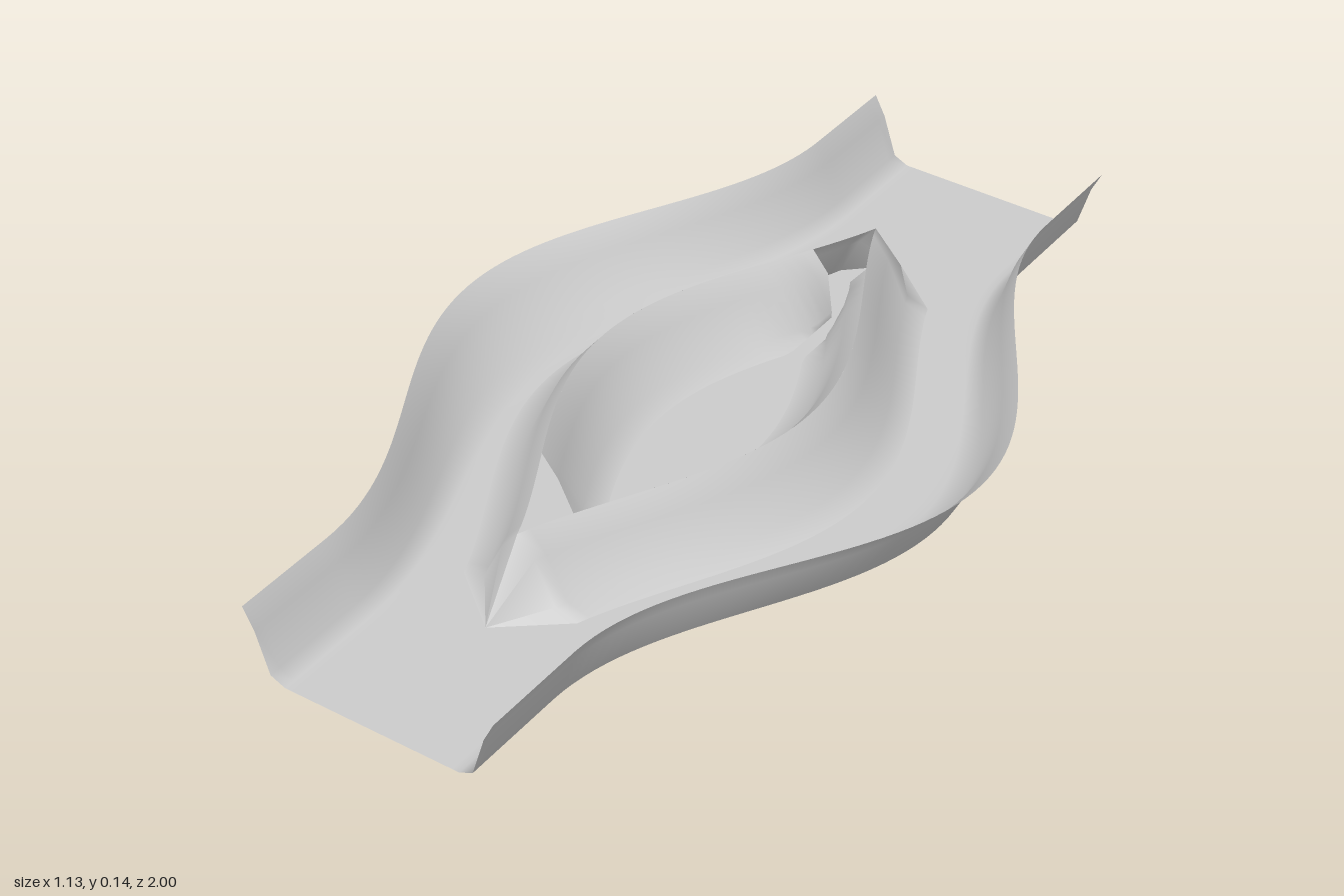
import * as THREE from 'three';

const H = 0.143;    // bank height
const MID = -0.028; // centre line of the island
const TIP = 0.58;   // island ridge ends here
const PROW = 0.68;  // island foot ends here

const material = new THREE.MeshStandardMaterial({ color: 0xcccccc, side: THREE.DoubleSide });

// 1 at the middle of the bed, easing to 0 towards the straight ends
const swell = z => Math.abs(z) > 0.78 ? 0 : (1 + Math.cos(Math.PI * z / 0.78)) / 2;
const ridge = z => Math.max(0, 0.27 * swell(z) - 0.042);

// Skin a list of cross-sections, each an array of [x, y, z]
function loft(name, sections) {
  const n = sections[0].length, index = [];
  for (let i = 0; i < sections.length - 1; i++) {
    for (let j = 0; j < n - 1; j++) {
      const a = i * n + j, b = a + n;
      index.push(a, b, a + 1, b, b + 1, a + 1);
    }
  }
  const geometry = new THREE.BufferGeometry();
  geometry.setAttribute('position', new THREE.Float32BufferAttribute(sections.flat(2), 3));
  geometry.setIndex(index);
  geometry.computeVertexNormals();
  const mesh = new THREE.Mesh(geometry, material);
  mesh.name = name;
  return mesh;
}

function stations(from, to, count) {
  return Array.from({ length: count + 1 }, (_, i) => from + (to - from) * i / count);
}

// Bank profile as [distance from the top edge, height]
const bank = [[0, H], [0.035, 0.1], [0.078, 0.014], [0.125, 0]];

export function createModel() {
  const group = new THREE.Group();
  group.name = 'splitChannel';

  // Channel floor with the two outer banks
  group.add(loft('channelBed', stations(-1, 1, 80).map(z => {
    const s = swell(z);
    const left = -0.295 - 0.27 * s, right = 0.24 + 0.325 * s;
    const wl = 0.65 + 0.65 * s, wr = 0.62 + 0.42 * s;
    return [
      ...bank.map(([d, y]) => [left + d * wl, y, z]),
      [left + 0.15 * wl, 0, z],
      [right - 0.15 * wr, 0, z],
      ...bank.map(([d, y]) => [right - d * wr, y, z]).reverse(),
    ];
  })));

  for (const side of [-1, 1]) {
    const label = side > 0 ? 'left' : 'right';

    // Outer slope of the island, closing to a point at both ends
    const prow = z => bank.map(() => [MID, 0.001, z]);
    group.add(loft(label + 'IslandSlope', [
      prow(-PROW),
      ...stations(-TIP, TIP, 48).map(z =>
        bank.map(([d, y]) => [MID + side * (ridge(z) + d), y + 0.001, z])),
      prow(PROW),
    ]));

    // Inner slope, dropping back to the floor of the hollow
    group.add(loft(label + 'HollowSlope', stations(-0.45, 0.37, 36).map(z =>
      bank.map(([d, y]) => [MID + side * Math.max(0.015, ridge(z) - d), y + 0.001, z]))));
  }
  return group;
}
